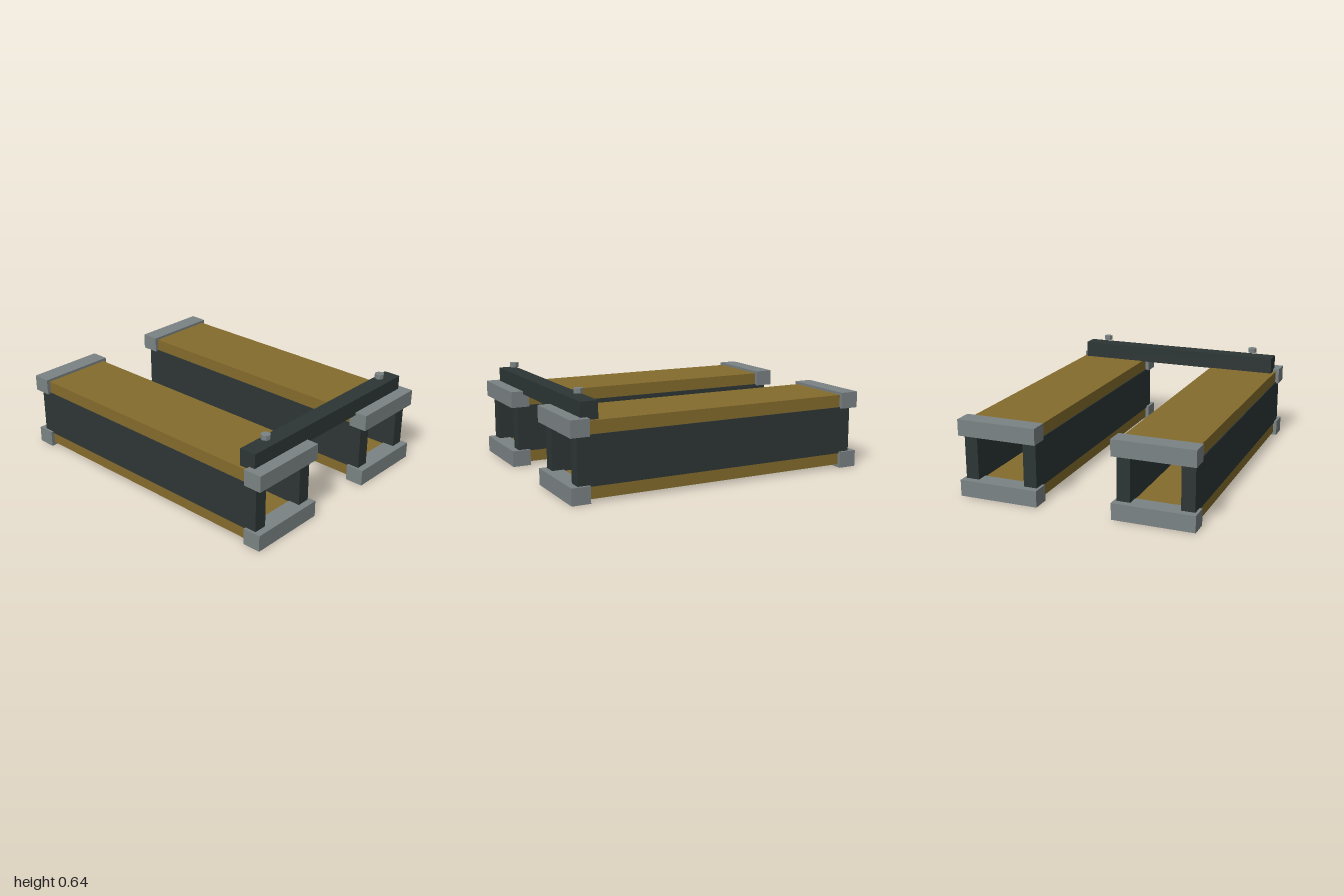
import * as THREE from 'three';

const material = (name, color) => {
  const m = new THREE.MeshStandardMaterial({ color });
  m.name = name;
  return m;
};

export function createModel() {
  const wood = material('ochre wood', 0x856c2d);
  const darkMetal = material('dark metal', 0x2d3635);
  const greyMetal = material('grey metal', 0x7b8384);

  const model = new THREE.Group();
  model.name = 'twinBeamFrame';

  // Box given by its extents along each axis
  const box = (parent, name, mat, [x0, x1], [y0, y1], [z0, z1]) => {
    const mesh = new THREE.Mesh(new THREE.BoxGeometry(x1 - x0, y1 - y0, z1 - z0), mat);
    mesh.position.set((x0 + x1) / 2, (y0 + y1) / 2, (z0 + z1) / 2);
    mesh.name = name;
    parent.add(mesh);
  };

  for (const side of [1, -1]) {
    const beam = new THREE.Group();
    beam.name = side > 0 ? 'frontBeam' : 'backBeam';
    beam.position.z = side * 0.503;
    model.add(beam);

    // Bottom and top planks
    box(beam, 'bottomPlank', wood, [-0.94, 0.94], [0.02, 0.098], [-0.236, 0.236]);
    box(beam, 'topPlank', wood, [-0.94, 0.94], [0.4, 0.48], [-0.236, 0.236]);

    // Side walls
    for (const s of [1, -1]) {
      const edges = [s * 0.156, s * 0.242].sort((a, b) => a - b);
      box(beam, 'sideWall', darkMetal, [-0.955, 0.955], [0.095, 0.4], edges);
    }

    // End rails, at both ends of both planks
    for (const x of [[-1, -0.88], [0.88, 1]]) {
      box(beam, 'lowerEndRail', greyMetal, x, [0, 0.105], [-0.26, 0.26]);
      box(beam, 'upperEndRail', greyMetal, x, [0.393, 0.497], [-0.26, 0.26]);
    }

    // Bolt head above the crossbar
    const bolt = new THREE.Mesh(new THREE.CylinderGeometry(0.03, 0.03, 0.03, 8), greyMetal);
    bolt.name = 'boltHead';
    bolt.position.set(0.866, 0.626, side * 0.565);
    bolt.geometry = bolt.geometry.toNonIndexed();
    bolt.geometry.computeVertexNormals();
    model.add(bolt);
  }

  // Crossbar joining the two beams
  box(model, 'crossbar', darkMetal, [0.81, 0.92], [0.478, 0.589], [-0.72, 0.72]);

  return model;
}
